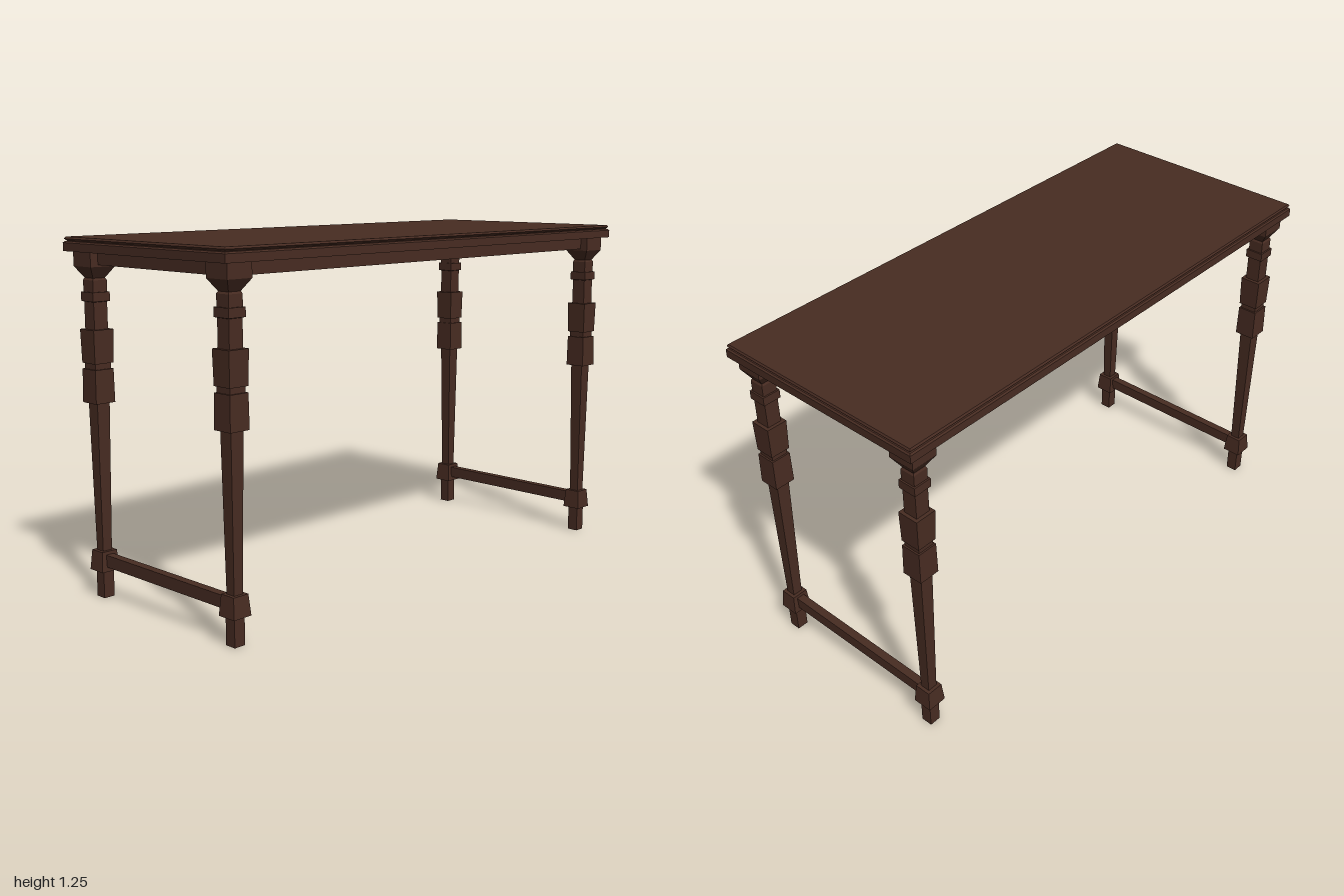
import * as THREE from 'three';

const LEG_X = 0.346, LEG_Z = 0.926;

// Square-section turning: profile of [half width, height], bottom to top,
// with the sides pushed out along z by stretchZ to make a rectangle.
function squareTurning(profile, stretchZ = 0) {
  const points = profile.map(([half, y]) => new THREE.Vector2(half * Math.SQRT2, y));
  const geometry = new THREE.LatheGeometry(points, 4, Math.PI / 4).toNonIndexed();
  const pos = geometry.attributes.position;
  for (let i = 0; i < pos.count; i++) {
    const z = pos.getZ(i);
    if (Math.abs(z) > 1e-6) pos.setZ(i, z + Math.sign(z) * stretchZ);
  }
  geometry.computeVertexNormals();
  return geometry;
}

export function createModel() {
  const group = new THREE.Group();
  group.name = 'table';
  const wood = new THREE.MeshStandardMaterial({ color: 0x482c22, flatShading: true });
  wood.name = 'dark brown wood';

  const add = (name, geometry, x = 0, y = 0, z = 0) => {
    const mesh = new THREE.Mesh(geometry, wood);
    mesh.name = name;
    mesh.position.set(x, y, z);
    group.add(mesh);
  };

  // Moulded top: slab, groove and thin upper lip
  add('tabletop', squareTurning([
    [0, 1.202], [0.416, 1.202], [0.416, 1.23], [0.411, 1.235],
    [0.405, 1.236], [0.413, 1.243], [0.409, 1.25], [0, 1.25],
  ], 0.584));

  // Legs: foot, stretcher block, tapered shaft, double block, ring and capital
  const legGeometry = squareTurning([
    [0, 0], [0.021, 0], [0.021, 0.097],
    [0.036, 0.097], [0.03, 0.168],
    [0.018, 0.168], [0.025, 0.689],
    [0.0385, 0.689], [0.037, 0.805],
    [0.031, 0.805], [0.031, 0.825],
    [0.037, 0.825], [0.0395, 0.94],
    [0.027, 0.94], [0.027, 1.033],
    [0.034, 1.035], [0.034, 1.066],
    [0.028, 1.066], [0.028, 1.106],
    [0.024, 1.113], [0.049, 1.152],
    [0.049, 1.202], [0, 1.202],
  ]);
  for (const sx of [-1, 1]) {
    for (const sz of [-1, 1]) {
      add(`${sz > 0 ? 'front' : 'back'}${sx > 0 ? 'Left' : 'Right'}Leg`,
        legGeometry, sx * LEG_X, 0, sz * LEG_Z);
    }
  }

  // Rails under the top and low stretchers between each end pair of legs
  const endRail = new THREE.BoxGeometry(2 * LEG_X - 0.09, 0.043, 0.04);
  const sideRail = new THREE.BoxGeometry(0.04, 0.043, 2 * LEG_Z - 0.09);
  const stretcher = new THREE.BoxGeometry(2 * LEG_X - 0.04, 0.043, 0.03);
  for (const s of [-1, 1]) {
    const end = s > 0 ? 'front' : 'back';
    add(`${end}Rail`, endRail, 0, 1.18, s * LEG_Z);
    add(`${end}Stretcher`, stretcher, 0, 0.135, s * LEG_Z);
    add(`${s > 0 ? 'left' : 'right'}Rail`, sideRail, s * LEG_X, 1.18, 0);
  }
  return group;
}
